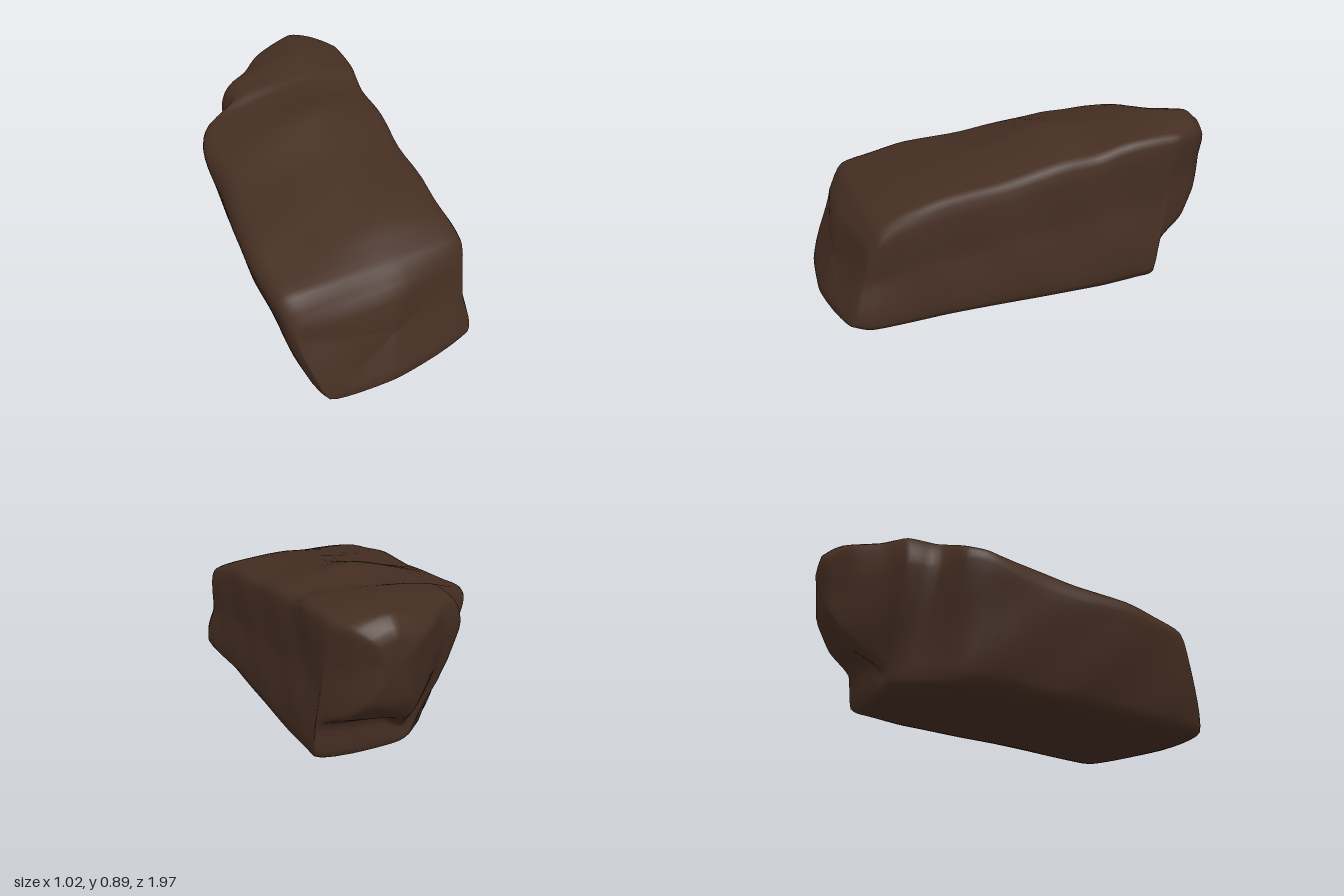
import * as THREE from 'three';

// Cross-sections from front to back:
// bottom z, top z, bottom-left x, bottom-left y, widest-left x, widest-left y,
// shoulder y, crest y, right shoulder y, right x, bottom y
const SECTIONS = [
  [1.00, 0.87, -0.31, 0.02, -0.41, 0.33, 0.41, 0.45, 0.43, 0.48, 0.02],
  [0.91, 0.79, -0.34, 0.01, -0.47, 0.44, 0.52, 0.55, 0.53, 0.505, 0.0],
  [0.68, 0.60, -0.345, 0.01, -0.49, 0.47, 0.56, 0.62, 0.60, 0.50, 0.0],
  [0.40, 0.40, -0.33, 0.03, -0.51, 0.49, 0.59, 0.665, 0.64, 0.49, 0.01],
  [0.10, 0.10, -0.32, 0.04, -0.48, 0.50, 0.63, 0.735, 0.69, 0.495, 0.02],
  [-0.15, -0.20, -0.31, 0.05, -0.475, 0.53, 0.67, 0.825, 0.75, 0.495, 0.025],
  [-0.38, -0.36, -0.27, 0.06, -0.46, 0.60, 0.70, 0.815, 0.77, 0.495, 0.03],
  [-0.49, -0.47, -0.18, 0.08, -0.41, 0.61, 0.72, 0.825, 0.80, 0.495, 0.04],
  [-0.59, -0.54, -0.10, 0.09, -0.27, 0.60, 0.775, 0.85, 0.815, 0.495, 0.05],
  [-0.68, -0.69, -0.01, 0.11, -0.25, 0.60, 0.775, 0.875, 0.83, 0.495, 0.07],
  [-0.70, -0.79, 0.03, 0.17, -0.13, 0.60, 0.78, 0.885, 0.83, 0.49, 0.25],
  [-0.84, -0.91, 0.10, 0.32, 0.00, 0.60, 0.79, 0.885, 0.82, 0.43, 0.33],
  [-0.925, -0.975, 0.15, 0.46, 0.12, 0.63, 0.76, 0.83, 0.78, 0.36, 0.43],
];
const AROUND = 48, STEPS = 4;

// Eight-cornered rock outline, rounded into a closed ring
function makeRing([zb, zt, xBL, yBL, xL, yL, yTL, yTop, yTR, xR, yB]) {
  const mid = (xL + xR) / 2, w = xR - xL;
  const corners = [
    [xBL, yBL], [xL, yL], [xL + 0.07 * w, yTL], [mid + 0.08 * w, yTop],
    [xR - 0.035 * w, yTR], [xR - 0.015, (yTR + yB) * 0.55], [xR, yB + 0.045], [mid, yB],
  ].map(([x, y]) => {
    const z = THREE.MathUtils.lerp(zb, zt, (y - yB) / (yTop - yB));
    // the front face is a blunt wedge, swept back on either side
    const slope = x > -0.08 ? 0.2 : 0.14;
    const sweep = slope * Math.abs(x + 0.08) * THREE.MathUtils.smoothstep(z, 0.5, 0.9);
    return new THREE.Vector3(x, y, z - sweep);
  });
  const curve = new THREE.CatmullRomCurve3(corners, true, 'catmullrom', 0.26);
  return Array.from({ length: AROUND }, (_, j) => curve.getPoint(j / AROUND));
}

// Shrink an end ring towards its centre to close the rock
function capRing(ring, scale, bulge) {
  const c = ring.reduce((s, p) => s.add(p), new THREE.Vector3()).divideScalar(ring.length);
  return ring.map((p) => {
    const q = c.clone().lerp(p, scale);
    q.z += bulge;
    return q;
  });
}

// Gentle weathering
function weather(p) {
  const bump = Math.sin(p.x * 9 + p.z * 6) * Math.sin(p.y * 11 - p.z * 7 + 1);
  const side = Math.sin(p.z * 13 + p.y * 5) * 0.005;
  p.x += bump * 0.006 + side * 0.5;
  p.y = Math.max(0, p.y + bump * 0.005 + side * 0.5);
  p.z = THREE.MathUtils.clamp(p.z + bump * 0.008, -1, 1);
  return p;
}

function rockGeometry() {
  const keys = SECTIONS.map(makeRing);
  const rings = Array.from({ length: (keys.length - 1) * STEPS + 1 }, () => []);
  for (let j = 0; j < AROUND; j++) {
    const rail = new THREE.CatmullRomCurve3(keys.map((k) => k[j]), false, 'catmullrom', 0.35);
    rings.forEach((r, i) => r.push(rail.getPoint(i / (rings.length - 1))));
  }
  const first = rings[0], last = rings[rings.length - 1];
  const all = [
    ...[[0, 0.02], [0.4, 0.018], [0.8, 0.01]].map(([s, b]) => capRing(first, s, b)),
    ...rings,
    ...[[0.8, -0.015], [0.4, -0.022], [0, -0.025]].map(([s, b]) => capRing(last, s, b)),
  ];
  const positions = [], index = [];
  all.forEach((ring) => ring.forEach((p) => positions.push(...weather(p).toArray())));
  for (let i = 0; i < all.length - 1; i++) {
    for (let j = 0; j < AROUND; j++) {
      const k = (j + 1) % AROUND;
      const a = i * AROUND + j, b = i * AROUND + k, c = a + AROUND, d = b + AROUND;
      if (i > 0) index.push(a, b, c);
      if (i < all.length - 2) index.push(b, d, c);
    }
  }
  const geo = new THREE.BufferGeometry();
  geo.setAttribute('position', new THREE.Float32BufferAttribute(positions, 3));
  geo.setIndex(index);
  geo.computeVertexNormals();
  return geo;
}

export function createModel() {
  const group = new THREE.Group();
  group.name = 'rock';
  const stone = new THREE.MeshStandardMaterial({ color: 0x452e22 });
  stone.name = 'dark brown stone';
  const boulder = new THREE.Mesh(rockGeometry(), stone);
  boulder.name = 'boulder';
  group.add(boulder);
  return group;
}
